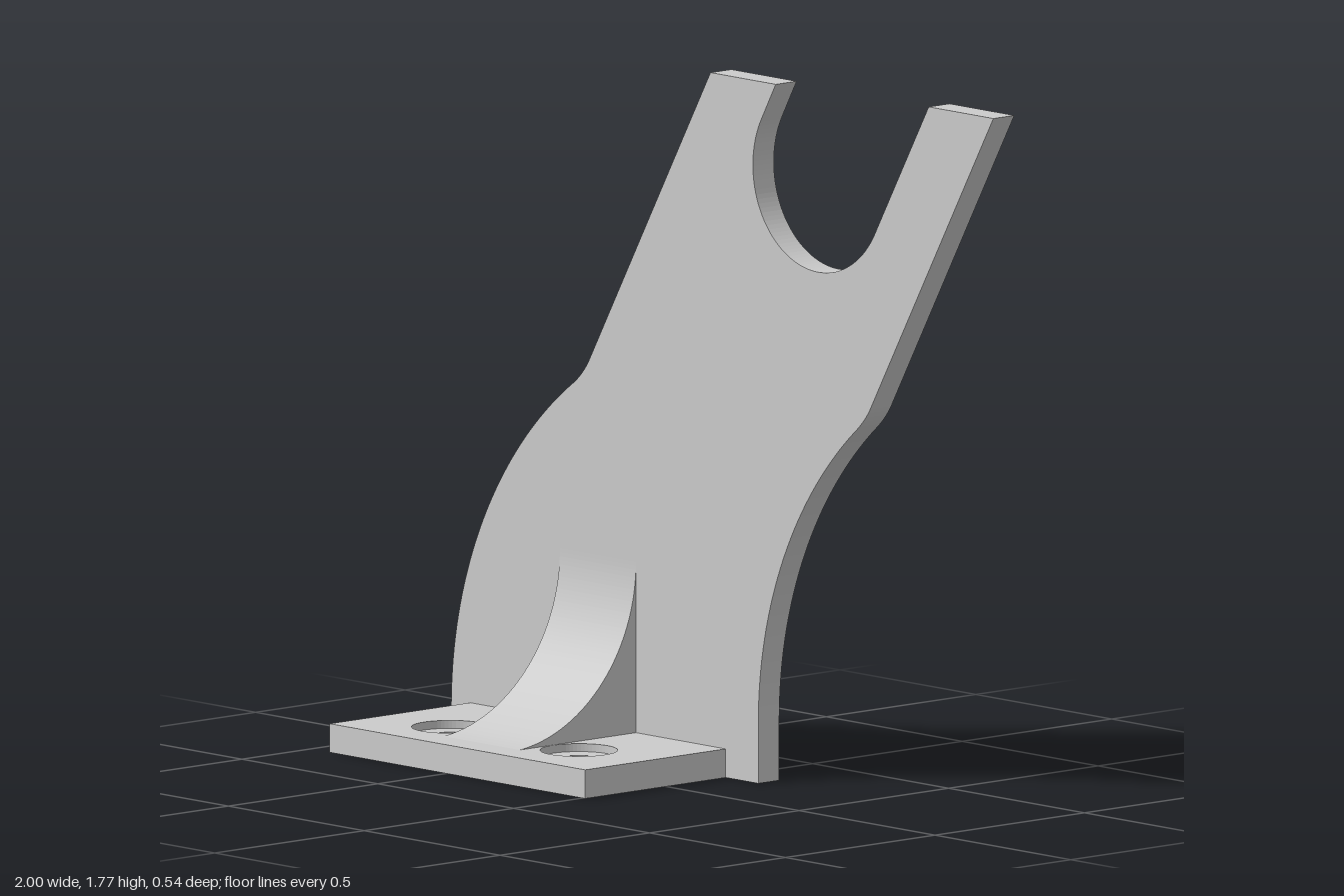
import * as THREE from 'three';

const material = new THREE.MeshStandardMaterial({ color: 0xcccccc });

function extrude(shape, depth) {
  return new THREE.ExtrudeGeometry(shape, { depth, bevelEnabled: false, curveSegments: 32 });
}

function circlePath(PathType, x, y, r) {
  const path = new PathType();
  path.absarc(x, y, r, 0, Math.PI * 2, false);
  return path;
}

export function createModel() {
  const group = new THREE.Group();
  const add = (name, geometry) => {
    const mesh = new THREE.Mesh(geometry, material);
    mesh.name = name;
    group.add(mesh);
  };
  const deg = Math.PI / 180;

  // Upright plate: swept sides and a slanted, open round-bottomed slot
  const plate = new THREE.Shape();
  plate.moveTo(-1, 0);
  plate.lineTo(0.13, 0);
  plate.lineTo(0.13, 0.15);
  const sweepRight = Math.asin(0.78 / 1.025);
  plate.absarc(1.155, 0.15, 1.025, Math.PI, Math.PI - sweepRight, true);
  plate.quadraticCurveTo(0.525, 0.96, 0.545, 0.995);
  plate.lineTo(0.995, 1.775);
  plate.lineTo(0.757, 1.775);
  plate.absarc(0.35, 1.55, 0.24, -30 * deg, -210 * deg, true);
  plate.lineTo(0.194, 1.762);
  plate.lineTo(-0.046, 1.762);
  plate.lineTo(-0.49, 0.99);
  plate.quadraticCurveTo(-0.51, 0.955, -0.54, 0.93);
  const sweepLeft = Math.asin(0.88 / 1.07);
  plate.absarc(0.07, 0.05, 1.07, Math.PI - sweepLeft, Math.PI, false);
  plate.closePath();
  add('uprightPlate', extrude(plate, 0.07).translate(0, 0, -0.27));

  // Base flange with two counterbored screw holes
  const holeX = [-0.695, -0.222];
  const holeZ = 0.08;
  const flange = new THREE.Shape();
  flange.moveTo(-0.93, -0.27);
  flange.lineTo(0.01, -0.27);
  flange.lineTo(0.01, 0.2);
  flange.lineTo(-0.93, 0.2);
  flange.closePath();
  for (const x of holeX) flange.holes.push(circlePath(THREE.Path, x, -holeZ, 0.096));
  add('baseFlange', extrude(flange, 0.072).rotateX(-Math.PI / 2));

  // Recessed seats at the bottom of the counterbores
  holeX.forEach((x, i) => {
    const seat = circlePath(THREE.Shape, x, -holeZ, 0.096);
    seat.holes.push(circlePath(THREE.Path, x, -holeZ, 0.04));
    add(['screwSeatRight', 'screwSeatLeft'][i], extrude(seat, 0.052).rotateX(-Math.PI / 2));
  });

  // Concave gusset between flange and plate, drawn in (-z, y)
  const gusset = new THREE.Shape();
  gusset.moveTo(-0.19, 0.072);
  gusset.lineTo(0.2, 0.072);
  gusset.lineTo(0.2, 0.5);
  gusset.absarc(-0.23, 0.5, 0.43, 0, -84.5 * deg, true);
  gusset.closePath();
  add('gusset', extrude(gusset, 0.28).rotateY(Math.PI / 2).translate(-0.6, 0, 0));

  return group;
}
